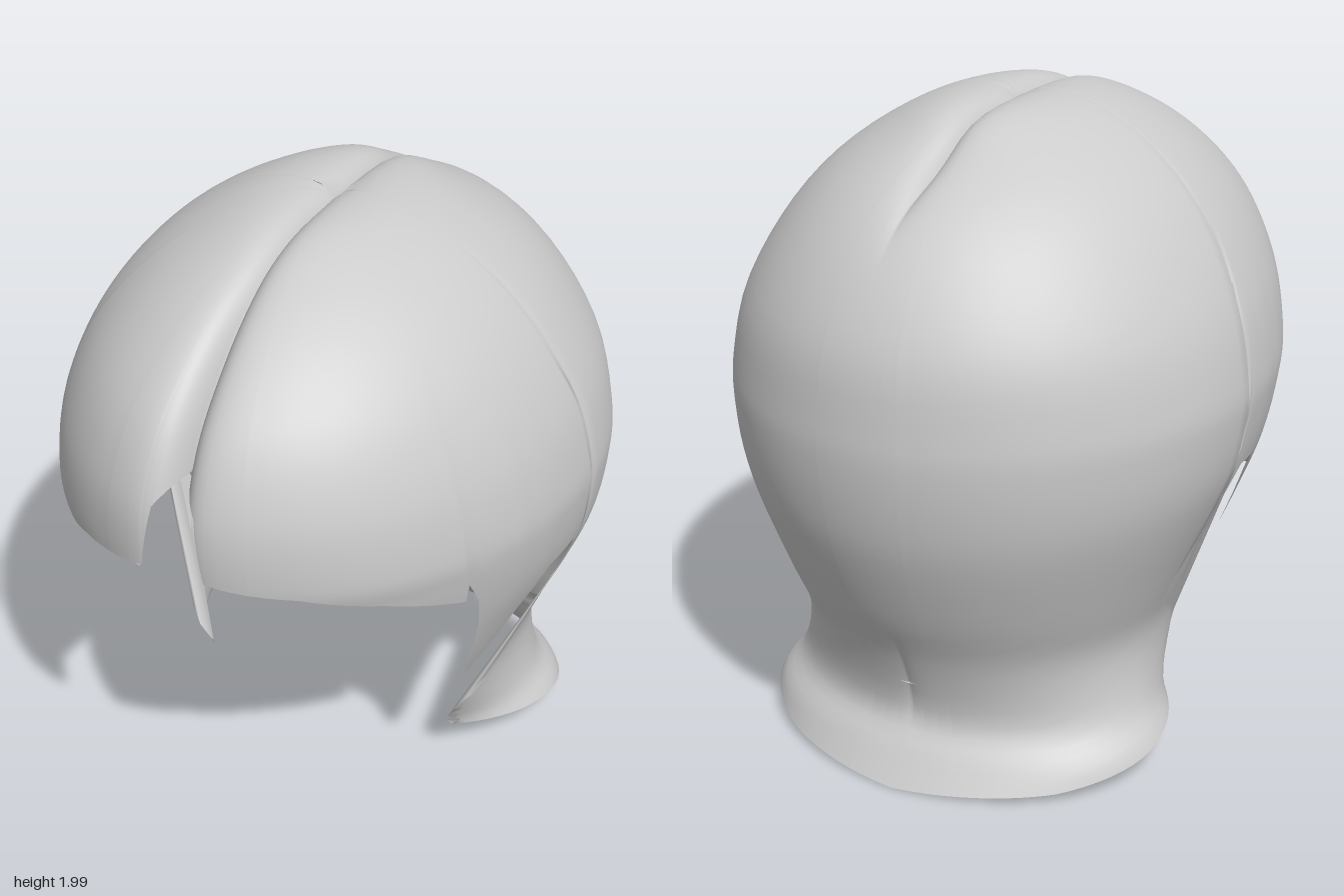
import * as THREE from 'three';
import { mergeVertices } from 'three/addons/utils/BufferGeometryUtils.js';

const { smoothstep, lerp, degToRad } = THREE.MathUtils;

// Horizontal sections, crown to nape: height, half width, front z, back z, centre z
const SECTIONS = [
  [2.0, 0, 0, 0, 0], [1.98, 0.2, 0.29, -0.3, 0], [1.9, 0.38, 0.52, -0.48, 0],
  [1.78, 0.54, 0.72, -0.68, -0.02], [1.62, 0.67, 0.88, -0.83, -0.04],
  [1.42, 0.77, 0.965, -0.935, -0.08], [1.22, 0.815, 0.975, -0.965, -0.1],
  [1.1, 0.815, 0.94, -0.97, -0.11], [0.95, 0.79, 0.9, -0.955, -0.13],
  [0.8, 0.735, 0.94, -0.92, -0.16], [0.58, 0.64, 1.0, -0.835, -0.2],
  [0.4, 0.58, 0.6, -0.75, -0.22], [0.2, 0.6, 0.25, -0.7, -0.28],
  [0.1, 0.66, 0.17, -0.76, -0.33], [0, 0.68, 0.15, -0.83, -0.33],
];
const curve = (pick) => new THREE.CatmullRomCurve3(
  SECTIONS.map((s) => new THREE.Vector3(...pick(s))), false, 'catmullrom', 0.5);
const widths = curve((s) => [s[1], s[0], s[4]]);
const depths = curve((s) => [s[2], s[0], s[3]]);

// Lower hairline: angle from the front in degrees, height
const HAIRLINE = [
  [0, 1.53], [5, 1.42], [7, 1.22], [25, 1.19], [40, 1.12], [56, 1.02], [56.6, 1.09],
  [59, 1.0], [65.4, 0.65], [67.5, 0.58], [70.5, 0.65], [73.6, 0.8], [79, 0.93],
  [87, 0.945], [89, 0.88], [90, 0.7], [91, 0.145], [120, 0.1], [150, 0.035], [180, 0.005],
];
// Where the inner lining meets the hair
const LINING = [
  [76, 0.87], [79, 0.93], [87, 0.945], [89, 0.88], [90, 0.7], [91, 0.58],
  [105, 0.45], [130, 0.36], [180, 0.31],
];

function heightAt(line, a) {
  const i = Math.max(1, line.findIndex((k) => k[0] >= a));
  const [p, q] = [line[i - 1], line[i]];
  return lerp(p[1], q[1], (a - p[0]) / (q[0] - p[0]));
}

// Curve parameter for a height
function paramAt(y) {
  let lo = 0, hi = 1;
  for (let i = 0; i < 24; i++) {
    const m = (lo + hi) / 2;
    if (widths.getPoint(m).y > y) lo = m; else hi = m;
  }
  return (lo + hi) / 2;
}

// Point on the hair surface; the nape wraps forward below the ears
function surface(deg, t, inset = 0) {
  const s = widths.getPoint(t), d = depths.getPoint(t);
  const wrap = 1 + 0.5 * (1 - smoothstep(s.y, 0.14, 0.55));
  const side = Math.sign(deg);
  const a = degToRad(Math.abs(deg) > 85 ? 180 - (180 - Math.abs(deg)) * wrap : Math.abs(deg));
  const c = Math.cos(a);
  const reach = c > 0 ? d.x - s.z : s.z - d.z;
  const p = new THREE.Vector3(
    side * Math.max(0, s.x - inset) * Math.sin(a), s.y,
    s.z + Math.max(0, reach - inset) * c);
  if (Math.abs(deg) === 180) p.x = 0;
  // Sunken parting from the fringe over to the back of the crown
  const depth = lerp(0.055, 0.12, smoothstep(p.z, 0.4, 0.95)) * smoothstep(p.z, -0.82, -0.5);
  const groove = inset ? 0 : depth * Math.exp(-Math.abs(p.x) / 0.035);
  const inward = new THREE.Vector3(0, 1.1, -0.1).sub(p).setX(0).normalize();
  return p.addScaledVector(inward, groove);
}

// Column angles: every corner of the line, finer near the parting
function columns(line) {
  const out = [line[0][0]];
  for (let i = 1; i < line.length; i++) {
    const [a, b] = [line[i - 1][0], line[i][0]];
    const n = Math.ceil((b - a) / (b < 10 ? 0.5 : 3));
    for (let j = 1; j <= n; j++) out.push(a + (b - a) * j / n);
  }
  for (let a = 170.5; a < 180; a += 0.75) out.push(a);
  for (let a = 7.5; a < 16; a += 0.75) if (line[0][0] === 0) out.push(a);
  return [...new Set(out)].sort((p, q) => p - q);
}

function sheet(angles, rows, point, flip) {
  const pos = [], idx = [];
  angles.forEach((a) => {
    for (let j = 0; j <= rows; j++) pos.push(...point(a, j / rows).toArray());
  });
  for (let i = 0; i < angles.length - 1; i++) {
    for (let j = 0; j < rows; j++) {
      const a = i * (rows + 1) + j, b = a + rows + 1;
      if (flip) idx.push(a, b, a + 1, b, b + 1, a + 1);
      else idx.push(a, a + 1, b, b, a + 1, b + 1);
    }
  }
  let g = new THREE.BufferGeometry();
  g.setAttribute('position', new THREE.Float32BufferAttribute(pos, 3));
  g.setIndex(idx);
  g = mergeVertices(g, 1e-4);
  g.computeVertexNormals();
  return g;
}

export function createModel() {
  const group = new THREE.Group();
  group.name = 'hair';
  const material = new THREE.MeshStandardMaterial({ color: 0xcccccc, side: THREE.DoubleSide });
  const add = (name, geometry) => {
    const mesh = new THREE.Mesh(geometry, material);
    mesh.name = name;
    group.add(mesh);
  };

  // Outer hair: crown, parted fringe, side locks and flared nape in one sheet
  const half = columns(HAIRLINE);
  const full = [...half.slice(1).reverse().map((a) => -a), ...half];
  const ends = new Map(half.map((a) => [a, paramAt(heightAt(HAIRLINE, a))]));
  add('outerHair', sheet(full, 48, (a, v) => surface(a, v * ends.get(Math.abs(a)))));

  // Inner lining: folds in above the ears and nape, then rises inside the crown
  const inner = columns(LINING);
  const starts = new Map(inner.map((a) => [a, paramAt(heightAt(LINING, a))]));
  const top = paramAt(1.5);
  const lining = (a, v) => {
    const inset = 0.15 * smoothstep(v, 0, 0.2) * (1 - smoothstep(v, 0.6, 1));
    const rise = Math.max(0, v - 0.08) / 0.92;
    return surface(a, lerp(starts.get(Math.abs(a)), top, rise), inset + 0.004);
  };
  const wrapped = [...inner, ...inner.slice(0, -1).reverse().map((a) => -a)];
  add('innerLining', sheet(wrapped, 24, lining, true));
  return group;
}
